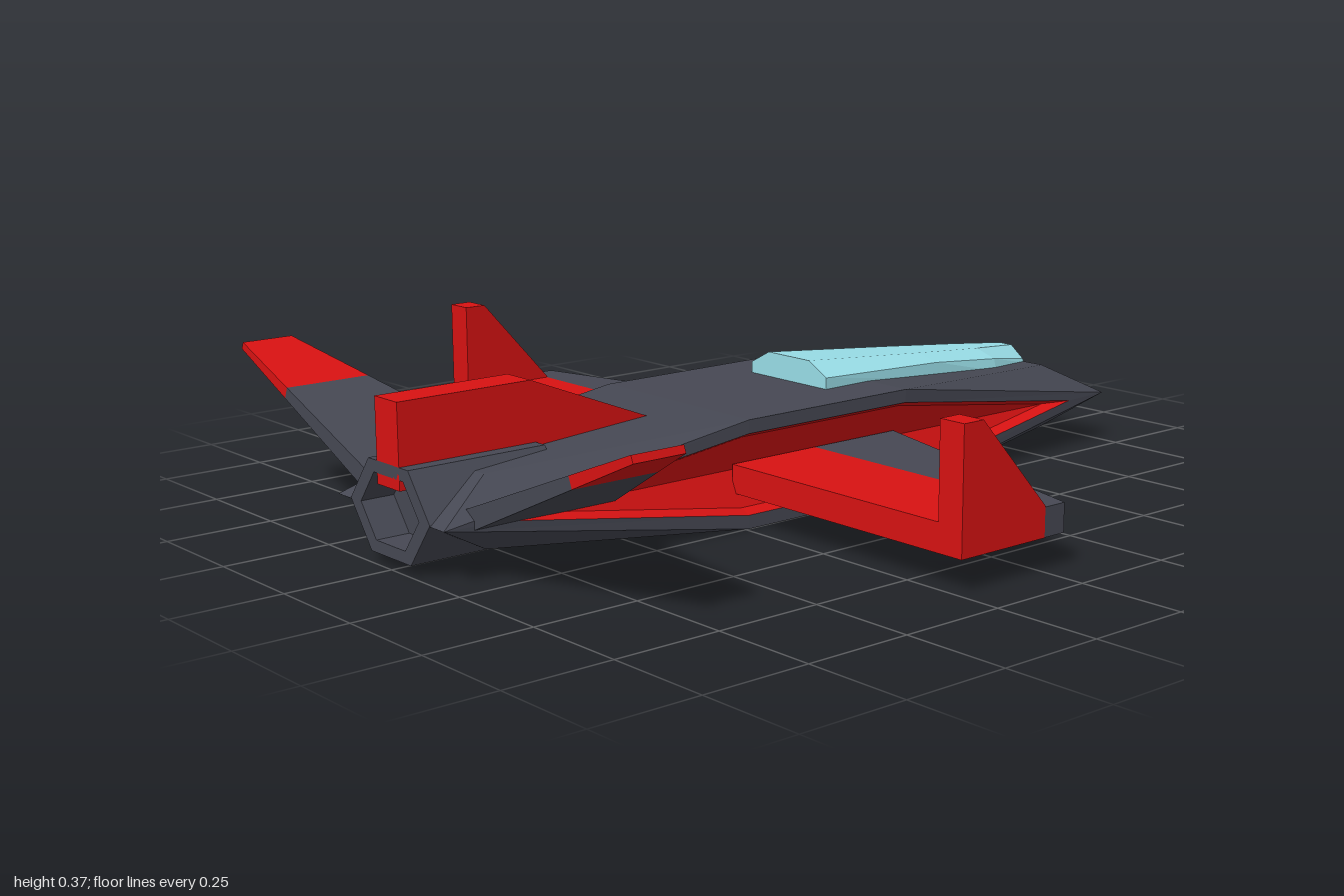
import * as THREE from 'three';

const mat = (color) => new THREE.MeshStandardMaterial({ color, flatShading: true, side: THREE.DoubleSide });
const DARK = mat(0x464853), RED = mat(0xd81212), GLASS = mat(0x9adfe9);
const MID = 0.128; // height of the hull's centre line

// Flat polygons, each turned to face away from a reference point
function facets(name, polys, material, refOf) {
  const pos = [];
  for (const poly of polys) {
    const p = poly.map((a) => new THREE.Vector3(...a));
    const c = p.reduce((s, v) => s.add(v), new THREE.Vector3()).divideScalar(p.length);
    const n = new THREE.Vector3();
    for (let i = 1; i < p.length - 1; i++) {
      n.add(p[i].clone().sub(p[0]).cross(p[i + 1].clone().sub(p[0])));
    }
    if (n.dot(c.clone().sub(refOf(c))) < 0) p.reverse();
    for (let i = 1; i < p.length - 1; i++) {
      for (const v of [p[0], p[i], p[i + 1]]) pos.push(v.x, v.y, v.z);
    }
  }
  const g = new THREE.BufferGeometry();
  g.setAttribute('position', new THREE.Float32BufferAttribute(pos, 3));
  g.computeVertexNormals();
  const m = new THREE.Mesh(g, material);
  m.name = name;
  return m;
}

// Strips of quads between two closed rings
const bridge = (a, b) => a.map((p, i) => {
  const j = (i + 1) % a.length;
  return [p, a[j], b[j], b[i]];
});

// Capped solid through a row of cross-sections
function loft(name, rings, material) {
  const polys = [rings[0], rings[rings.length - 1]];
  for (let i = 0; i < rings.length - 1; i++) polys.push(...bridge(rings[i], rings[i + 1]));
  const all = rings.flat();
  const ref = new THREE.Vector3();
  all.forEach((a) => ref.add(new THREE.Vector3(...a)));
  ref.divideScalar(all.length);
  return facets(name, polys, material, () => ref);
}

// Solid from a (z, y) outline spanning x0..x1
const slab = (name, outline, x0, x1, material) =>
  loft(name, [x0, x1].map((x) => outline.map(([z, y]) => [x, y, z])), material);

// Six-sided side outline: long points fore and aft, flat top and bottom
const sideRing = (s, xEnd, xMid, zEnd, h) => [
  [s * xEnd, MID, -zEnd], [s * xMid, MID + h, -0.24], [s * xMid, MID + h, 0.24],
  [s * xEnd, MID, zEnd], [s * xMid, MID - h, 0.24], [s * xMid, MID - h, -0.24],
];

function buildHull() {
  const hull = new THREE.Group();
  hull.name = 'fuselage';
  const H = 0.123, h = 0.08;
  const dark = [], red = [];
  for (const v of [1, -1]) {
    const y = MID + v * H, yn = MID + v * h;
    // deck, in three panels, and the nose wedge
    dark.push([[-0.25, y, -0.24], [0.25, y, -0.24], [0.25, y, 0.24], [-0.25, y, 0.24]]);
    for (const e of [-1, 1]) {
      dark.push([[-0.25, y, e * 0.24], [0.25, y, e * 0.24], [0.125, yn, e * 0.85], [-0.125, yn, e * 0.85]]);
    }
    dark.push([[-0.125, yn, -0.85], [0.125, yn, -0.85], [0.2, MID, -1], [-0.2, MID, -1]]);
    for (const s of [1, -1]) {
      // tail wedges on either side of the engine
      dark.push([[s * 0.125, yn, 0.85], [s * 0.2, MID, 1], [s * 0.13, MID, 1], [s * 0.08, yn, 0.85]]);
      // chamfers along the shoulders
      for (const e of [-1, 1]) {
        dark.push([[s * 0.25, y, e * 0.24], [s * 0.125, yn, e * 0.85], [s * 0.2, MID, e]]);
      }
    }
  }
  // side rims with sunken red panels
  for (const s of [1, -1]) {
    const rim = sideRing(s, 0.2, 0.25, 1, H);
    const inset = sideRing(s, 0.21, 0.25, 0.86, 0.092);
    const floor = sideRing(s, 0.19, 0.225, 0.78, 0.08);
    dark.push(...bridge(rim, inset));
    red.push(...bridge(inset, floor), floor);
  }
  const ref = (c) => new THREE.Vector3(0, MID, c.z * 0.9);
  hull.add(facets('hull', dark, DARK, ref), facets('sidePanels', red, RED, ref));
  return hull;
}

// Hexagonal engine nozzle with a hollow end
function buildEngine() {
  const hex = (w, t, h) => [[w, 0], [t, h], [-t, h], [-w, 0], [-t, -h], [t, -h]]
    .map(([x, y]) => new THREE.Vector2(x, y));
  const ring = new THREE.Shape(hex(0.15, 0.075, 0.1));
  ring.holes.push(new THREE.Path(hex(0.11, 0.055, 0.073)));
  const engine = new THREE.Group();
  engine.name = 'engine';
  const tube = new THREE.Mesh(new THREE.ExtrudeGeometry(ring, { depth: 0.34, bevelEnabled: false }), DARK);
  tube.name = 'nozzle';
  const plate = new THREE.Mesh(new THREE.ShapeGeometry(new THREE.Shape(hex(0.11, 0.055, 0.073))), DARK);
  plate.name = 'nozzlePlate';
  plate.position.z = 0.26;
  engine.add(tube, plate);
  engine.position.set(0, MID + 0.002, 0.66);
  return engine;
}

function buildMainWing(s) {
  const wing = new THREE.Group();
  wing.name = s > 0 ? 'leftWing' : 'rightWing';
  const lo = 0.078, hi = 0.143;
  const section = (x, z0, z1) => [[s * x, lo, z0], [s * x, hi, z0], [s * x, hi, z1], [s * x, lo, z1]];
  wing.add(
    loft('wingFront', [section(0.2, -0.25, 0), section(0.895, -0.06, 0)], DARK),
    loft('wingRear', [section(0.2, 0, 0.245), section(0.895, 0, 0.245)], RED),
    slab('winglet', [[0, lo], [0.245, lo], [0.245, 0.355], [0.19, 0.355], [0, 0.146]], s * 0.83, s * 0.896, RED),
  );
  return wing;
}

// Raised tail wing, tapering to a red tip
function buildTailWing(s) {
  const wing = new THREE.Group();
  wing.name = s > 0 ? 'leftTailWing' : 'rightTailWing';
  const section = (x) => {
    const t = (x - 0.17) / 0.55;
    const y = 0.13 + 0.232 * t, half = 0.022 - 0.014 * t, z = 0.56 + 0.245 * t;
    const dx = half * 0.4;
    return [[s * (x + dx), y - half, z], [s * (x - dx), y + half, z],
      [s * (x - dx), y + half, 0.93], [s * (x + dx), y - half, 0.93]];
  };
  wing.add(
    loft('tailWingPanel', [section(0.17), section(0.53)], DARK),
    loft('tailWingTip', [section(0.53), section(0.72)], RED),
  );
  return wing;
}

// Faceted canopy: [z, low width, low y, mid width, mid y, top width, top y]
function buildCanopy() {
  const rows = [
    [-0.85, 0.065, 0.205, 0.06, 0.215, 0.02, 0.245],
    [-0.7, 0.108, 0.21, 0.1, 0.24, 0.04, 0.258],
    [-0.48, 0.118, 0.225, 0.115, 0.262, 0.055, 0.277],
    [-0.1, 0.13, 0.24, 0.13, 0.278, 0.07, 0.31],
  ];
  return loft('canopy', rows.map(([z, a, ya, b, yb, c, yc]) =>
    [[a, ya, z], [b, yb, z], [c, yc, z], [-c, yc, z], [-b, yb, z], [-a, ya, z]]), GLASS);
}

export function createModel() {
  const model = new THREE.Group();
  model.name = 'starfighter';
  model.add(buildHull(), buildEngine(), buildCanopy());
  model.add(slab('dorsalFin', [[0.34, 0.235], [0.67, 0.366], [1, 0.366], [1, 0.18], [0.42, 0.18]], -0.042, 0.042, RED));
  for (const s of [1, -1]) model.add(buildMainWing(s), buildTailWing(s));
  return model;
}
